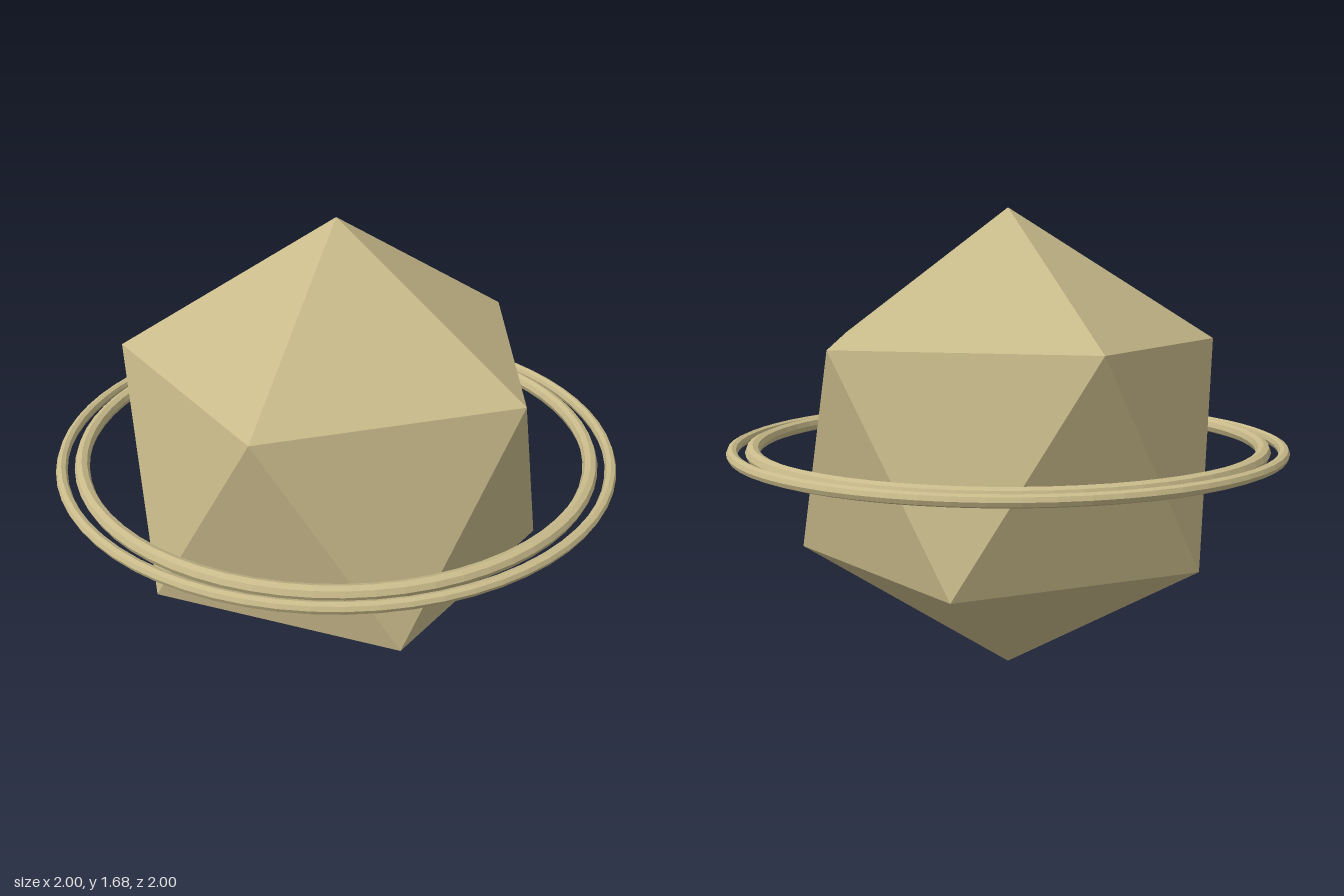
import * as THREE from 'three';

const CENTER_Y = 0.84;

export function createModel() {
  const model = new THREE.Group();
  model.name = 'ringedPlanet';

  const sand = new THREE.MeshStandardMaterial({ color: 0xc8ba8a, flatShading: true });
  sand.name = 'sand';

  const add = (name, geometry) => {
    const mesh = new THREE.Mesh(geometry, sand);
    mesh.name = name;
    mesh.position.y = CENTER_Y;
    model.add(mesh);
  };

  // Planet: an icosahedron turned to stand on one corner, with an upper corner towards +x
  const goldenRatio = (1 + Math.sqrt(5)) / 2;
  const planet = new THREE.IcosahedronGeometry(CENTER_Y, 0);
  planet.rotateZ(-Math.atan(1 / goldenRatio));
  add('planet', planet);

  // Two level rings: a thicker inner one and a thinner outer one
  const rings = [
    ['innerRing', 0.909, 0.026],
    ['outerRing', 0.979, 0.02],
  ];
  for (const [name, radius, tube] of rings) {
    add(name, new THREE.TorusGeometry(radius, tube, 8, 64).rotateX(Math.PI / 2));
  }

  return model;
}
